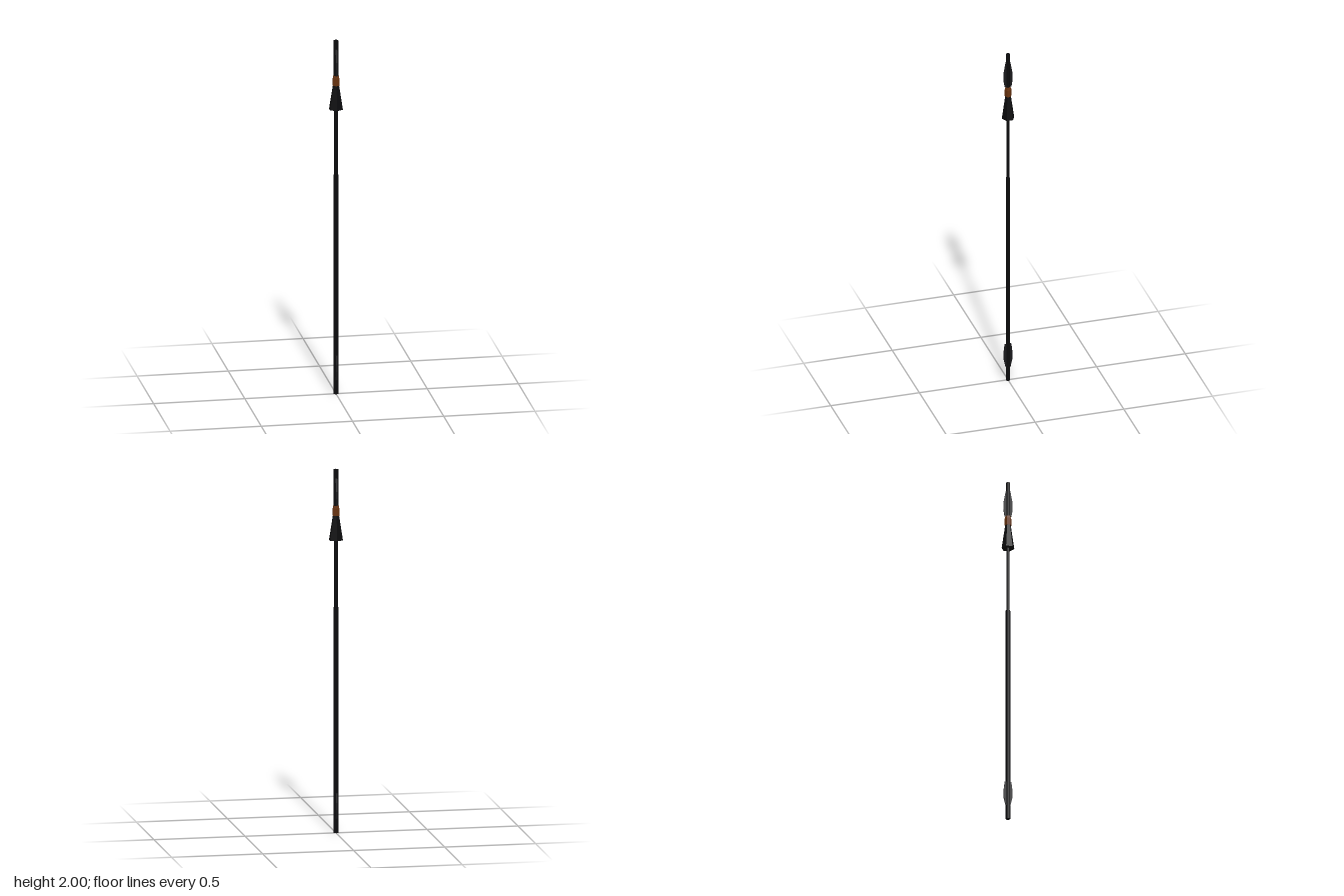
import * as THREE from 'three';

const material = (name, color) => {
  const m = new THREE.MeshStandardMaterial({ color, flatShading: true });
  m.name = name;
  return m;
};

export function createModel() {
  const group = new THREE.Group();
  const black = material('black', 0x0b0b0d);
  const charcoal = material('charcoal', 0x18181b);
  const brown = material('brown', 0x6a3410);

  // six-sided section from y0 to y1, with corners on the z axis and equal width and depth
  const hexSection = (name, y0, y1, r0, r1, mat) => {
    const geo = new THREE.CylinderGeometry(r1, r0, y1 - y0, 6);
    geo.scale(2 / Math.sqrt(3), 1, 1);
    geo.translate(0, (y0 + y1) / 2, 0);
    const mesh = new THREE.Mesh(geo, mat);
    mesh.name = name;
    group.add(mesh);
  };

  hexSection('lowerShaft', 0, 1.24, 0.0125, 0.0125, black);
  hexSection('upperShaft', 1.24, 1.76, 0.0095, 0.0095, black);
  hexSection('coneGuard', 1.61, 1.75, 0.035, 0.015, black);
  hexSection('collarBand', 1.745, 1.785, 0.0185, 0.0185, brown);
  hexSection('collarLip', 1.785, 1.80, 0.0165, 0.0145, brown);
  hexSection('tipShaft', 1.79, 2, 0.0115, 0.0115, black);

  // flat fins through the shaft; outline given as [half depth, height]
  const fin = (name, profile) => {
    const right = profile.map(([z, y]) => new THREE.Vector2(z, y));
    const left = profile.map(([z, y]) => new THREE.Vector2(-z, y)).reverse();
    const geo = new THREE.ExtrudeGeometry(new THREE.Shape([...right, ...left]), {
      depth: 0.009, bevelEnabled: false,
    });
    geo.translate(0, 0, -0.0045);
    geo.rotateY(Math.PI / 2);
    const mesh = new THREE.Mesh(geo, charcoal);
    mesh.name = name;
    group.add(mesh);
  };

  fin('upperFin', [[0.018, 1.8], [0.025, 1.84], [0.025, 1.88], [0.012, 1.95]]);
  fin('lowerFin', [[0.013, 0.08], [0.024, 0.13], [0.024, 0.17], [0.018, 0.22]]);

  return group;
}
